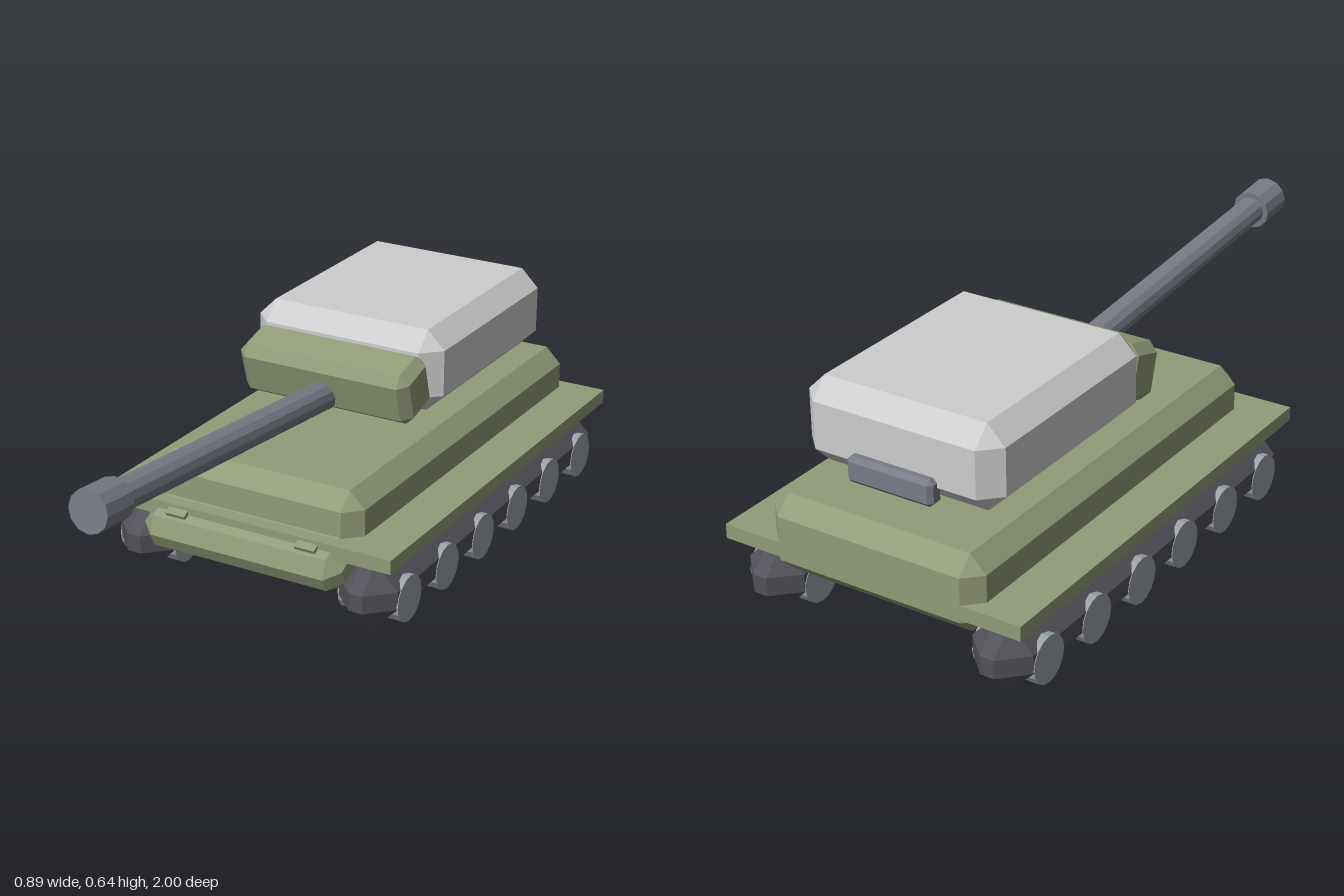
import * as THREE from 'three';
import { ConvexGeometry } from 'three/addons/geometries/ConvexGeometry.js';

const makeMaterial = (name, color) => {
  const m = new THREE.MeshStandardMaterial({ color });
  m.name = name;
  return m;
};

// Box whose edges and corners are all cut at 45 degrees
function chamferBox(w, h, d, c) {
  const points = [];
  for (const x of [-1, 1]) for (const y of [-1, 1]) for (const z of [-1, 1]) {
    for (let full = 0; full < 3; full++) {
      points.push(new THREE.Vector3(
        x * (w / 2 - (full === 0 ? 0 : c)),
        y * (h / 2 - (full === 1 ? 0 : c)),
        z * (d / 2 - (full === 2 ? 0 : c))));
    }
  }
  return new ConvexGeometry(points);
}

// Faceted cylinder lying along z
function rod(radius, length, sides) {
  return new THREE.CylinderGeometry(radius, radius, length, sides).rotateX(Math.PI / 2).toNonIndexed();
}

export function createModel() {
  const green = makeMaterial('olive green', 0x919b77);
  const pale = makeMaterial('pale grey', 0xcdcdcd);
  const steel = makeMaterial('gun steel', 0x787c86);
  const dark = makeMaterial('track grey', 0x535159);
  const light = makeMaterial('wheel grey', 0x9ba2a8);

  const model = new THREE.Group();
  model.name = 'tank';
  const add = (name, geometry, material, x, y, z, tilt = 0, parent = model) => {
    geometry.computeVertexNormals();
    const mesh = new THREE.Mesh(geometry, material);
    mesh.name = name;
    mesh.position.set(x, y, z);
    mesh.rotation.x = tilt;
    parent.add(mesh);
    return mesh;
  };

  // Hull, fender plate and sloping nose
  add('hull', chamferBox(0.636, 0.215, 1.28, 0.046), green, 0, 0.2525, -0.36);
  add('fenderPlate', new THREE.BoxGeometry(0.888, 0.04, 1.325), green, 0, 0.22, -0.3375);
  add('nosePlate', chamferBox(0.61, 0.119, 0.26, 0.038), green, 0, 0.196, 0.24, 0.48);

  // Tracks with wheels passing through them, and a tow hook on each side
  for (const [side, s] of [['left', 1], ['right', -1]]) {
    const running = new THREE.Group();
    running.name = side + 'RunningGear';
    model.add(running);
    add(side + 'Track', chamferBox(0.176, 0.187, 1.33, 0.068), dark, s * 0.345, 0.0935, -0.335, 0, running);
    for (let i = 0; i < 6; i++) {
      const wheel = new THREE.CylinderGeometry(0.065, 0.065, 0.18, 16).rotateZ(Math.PI / 2).toNonIndexed();
      add(side + 'Wheel' + (i + 1), wheel, light, s * 0.345, 0.075, 0.2 - i * 0.2135, 0, running);
    }
    add(side + 'TowHook', new THREE.BoxGeometry(0.06, 0.02, 0.035), green, s * 0.2, 0.22, 0.325, 0.48);
  }

  // Turret with rear stowage box and gun mantlet
  add('turret', chamferBox(0.584, 0.235, 0.688, 0.052), pale, 0, 0.5225, -0.536);
  add('stowageBox', chamferBox(0.256, 0.073, 0.05, 0.012), steel, 0, 0.445, -0.882);
  add('mantlet', chamferBox(0.53, 0.16, 0.148, 0.027), green, 0, 0.494, -0.156, 0.28);

  // Gun, raised slightly towards the muzzle
  const gun = new THREE.Group();
  gun.name = 'gun';
  gun.position.set(0, 0.449, -0.12);
  gun.rotation.x = -0.085;
  model.add(gun);
  add('barrel', rod(0.041, 1.04, 12), steel, 0, 0, 0.52, 0, gun);
  add('muzzle', rod(0.057, 0.108, 12), steel, 0, 0, 1.065, 0, gun);

  return model;
}
